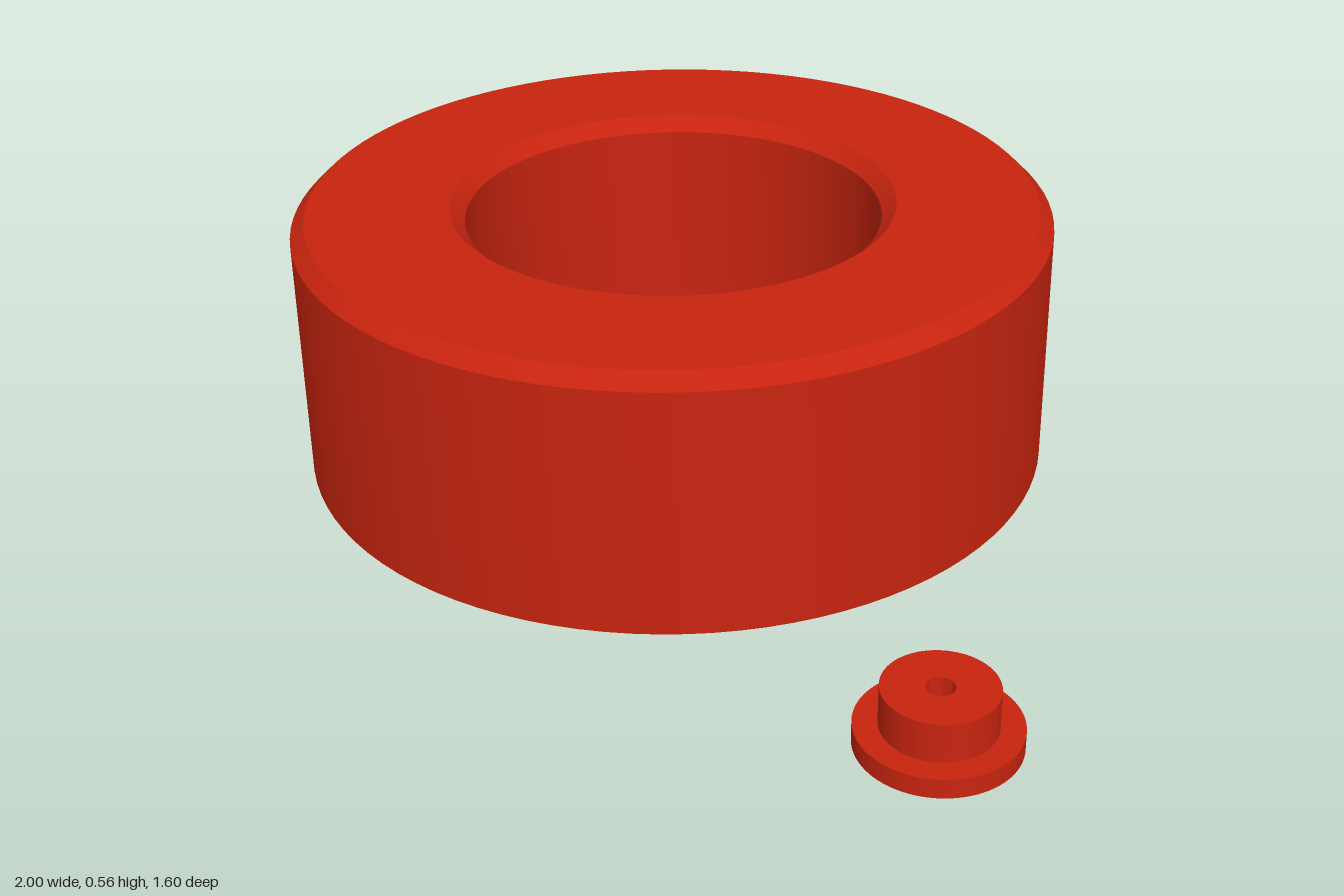
import * as THREE from 'three';
import { toCreasedNormals } from 'three/addons/utils/BufferGeometryUtils.js';

const SEGMENTS = 96;

// Turned surface with crisp edges; profile is [radius, height] pairs
function turned(profile, segments = SEGMENTS) {
  const points = profile.map(([r, y]) => new THREE.Vector2(r, y));
  return toCreasedNormals(new THREE.LatheGeometry(points, segments), 0.5);
}

export function createModel() {
  const model = new THREE.Group();
  const red = new THREE.MeshStandardMaterial({ color: 0xc8240f });
  red.name = 'red';

  function add(parent, name, geometry, x = 0, z = 0) {
    const mesh = new THREE.Mesh(geometry, red);
    mesh.name = name;
    mesh.position.set(x, 0, z);
    parent.add(mesh);
    return mesh;
  }

  // Large ring with chamfered top edges
  const outer = 0.8, inner = 0.44, height = 0.555, chamfer = 0.03;
  const ring = new THREE.Group();
  ring.name = 'ring';
  ring.position.x = -0.2;
  model.add(ring);
  add(ring, 'ringBody', turned([
    [outer, 0], [outer, height - chamfer], [outer - chamfer, height],
    [inner + chamfer, height], [inner, height - chamfer], [inner, 0],
  ]));

  // Underside with a bore and four screw holes on the diagonals
  const holeRadius = 0.028, holeDepth = 0.25, offset = 0.457;
  const circle = (path, x, y, r) => path.absarc(x, y, r, 0, Math.PI * 2, false);
  const base = circle(new THREE.Shape(), 0, 0, outer);
  base.holes.push(circle(new THREE.Path(), 0, 0, inner));
  for (const sx of [-1, 1]) {
    for (const sz of [-1, 1]) {
      base.holes.push(circle(new THREE.Path(), sx * offset, sz * offset, holeRadius));
      add(ring, 'screwHole',
        turned([[0, holeDepth], [holeRadius, holeDepth], [holeRadius, 0]]),
        sx * offset, sz * offset);
    }
  }
  add(ring, 'ringUnderside', new THREE.ShapeGeometry(base, SEGMENTS).rotateX(Math.PI / 2));

  // Small flanged foot with a through hole
  const bore = 0.027, flange = 0.154, boss = 0.108;
  add(model, 'foot', turned([
    [bore, 0], [flange, 0], [flange, 0.04], [boss, 0.04],
    [boss, 0.12], [bore, 0.12], [bore, 0],
  ]), 0.846, 0.645);

  return model;
}
